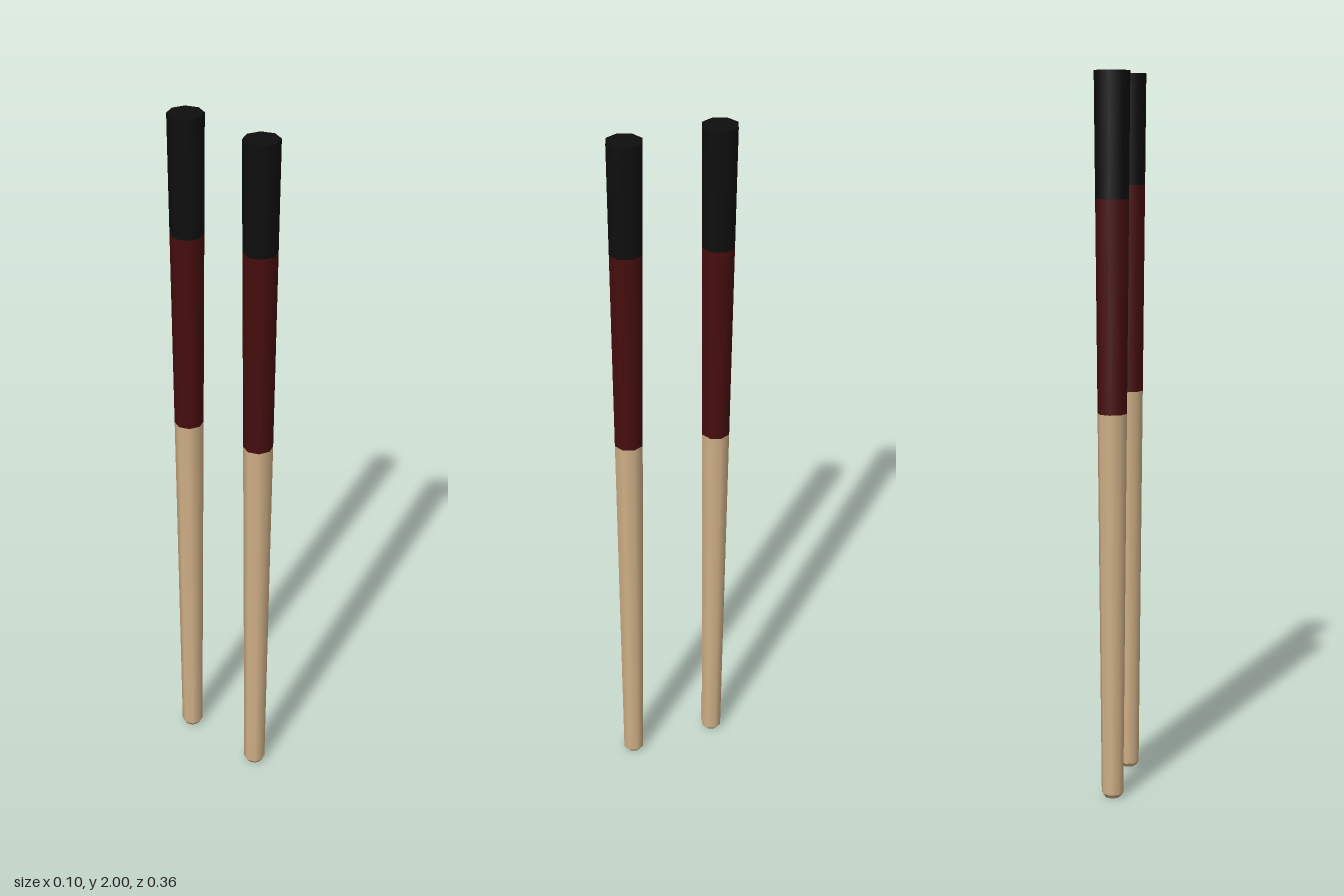
import * as THREE from 'three';

const SIDES = 8;

export function createModel() {
  const wood = new THREE.MeshStandardMaterial({ color: 0xd0b087 });
  wood.name = 'paleWood';
  const red = new THREE.MeshStandardMaterial({ color: 0x470d0e });
  red.name = 'darkRed';
  const black = new THREE.MeshStandardMaterial({ color: 0x0e0e0e });
  black.name = 'black';

  // radius of the tapering stick at height y
  const radiusAt = (y) => 0.031 + (0.049 - 0.031) * (y - 0.04) / 1.96;

  // open tapered band between two heights
  function band(name, y0, y1, material, r0 = radiusAt(y0)) {
    const geometry = new THREE.CylinderGeometry(radiusAt(y1), r0, y1 - y0, SIDES, 1, true);
    const mesh = new THREE.Mesh(geometry, material);
    mesh.name = name;
    mesh.position.y = (y0 + y1) / 2;
    return mesh;
  }

  // flat end disc, facing up or down
  function disc(name, y, radius, material, up) {
    const mesh = new THREE.Mesh(new THREE.CircleGeometry(radius, SIDES), material);
    mesh.name = name;
    mesh.rotation.x = up ? -Math.PI / 2 : Math.PI / 2;
    mesh.position.y = y;
    return mesh;
  }

  function stick(name, z, redStart, blackStart) {
    const group = new THREE.Group();
    group.name = name;
    group.position.z = z;
    group.add(
      disc('tipEnd', 0, 0.022, wood, false),
      band('tipBevel', 0, 0.012, wood, 0.022),
      band('woodShaft', 0.012, redStart, wood),
      band('redGrip', redStart, blackStart, red),
      band('blackHandle', blackStart, 2, black),
      disc('handleEnd', 2, radiusAt(2), black, true)
    );
    return group;
  }

  const model = new THREE.Group();
  model.name = 'chopsticks';
  model.add(
    stick('frontStick', 0.129, 1.115, 1.695),
    stick('backStick', -0.13, 1.088, 1.665)
  );
  return model;
}
